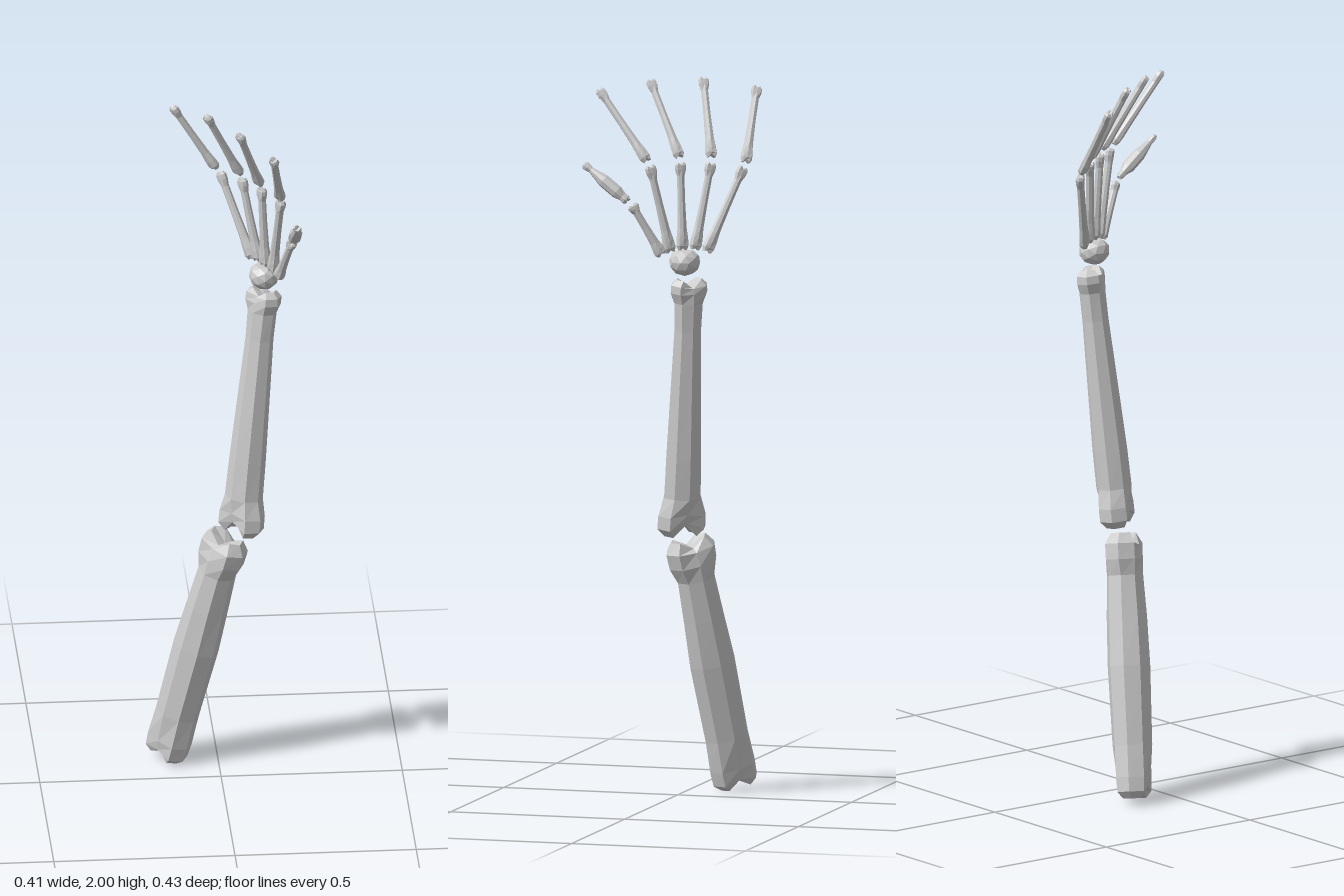
import * as THREE from 'three';

const SIDES = 8;
const material = new THREE.MeshStandardMaterial({ color: 0xcccccc, flatShading: true });

// Lofted bone from a to b. Stations are [t, half width, half thickness, waist, notch]:
// waist thins the middle of the section, notch pulls it inward to leave two knuckles.
function bone(name, a, b, across, stations) {
  const start = new THREE.Vector3(...a);
  const axis = new THREE.Vector3(...b).sub(start);
  const length = axis.length();
  axis.normalize();
  const u = new THREE.Vector3(...across);
  u.addScaledVector(axis, -u.dot(axis)).normalize();
  const v = new THREE.Vector3().crossVectors(axis, u);
  const pos = [], index = [];
  const put = (along, x, y) => {
    const p = start.clone().addScaledVector(axis, along).addScaledVector(u, x).addScaledVector(v, y);
    pos.push(p.x, p.y, p.z);
  };

  stations.forEach(([t, w, h, waist = 1, notch = 0]) => {
    for (let i = 0; i < SIDES; i++) {
      const angle = (i / SIDES) * Math.PI * 2;
      const middle = i % (SIDES / 2) === SIDES / 4;
      const inward = middle ? notch * (t < 0.5 ? 1 : -1) : 0;
      put(t * length + inward, Math.cos(angle) * w, Math.sin(angle) * h * (middle ? waist : 1));
    }
  });
  for (let s = 0; s < stations.length - 1; s++) {
    for (let i = 0; i < SIDES; i++) {
      const p = s * SIDES + i, q = s * SIDES + (i + 1) % SIDES;
      index.push(p, q, q + SIDES, p, q + SIDES, p + SIDES);
    }
  }

  // Sunken end caps
  const last = (stations.length - 1) * SIDES, centre = pos.length / 3;
  put(stations[0][4], 0, 0);
  put(length - stations[stations.length - 1][4], 0, 0);
  for (let i = 0; i < SIDES; i++) {
    const j = (i + 1) % SIDES;
    index.push(centre, j, i, centre + 1, last + i, last + j);
  }
  const geometry = new THREE.BufferGeometry();
  geometry.setAttribute('position', new THREE.Float32BufferAttribute(pos, 3));
  geometry.setIndex(index);
  geometry.computeVertexNormals();
  const mesh = new THREE.Mesh(geometry, material);
  mesh.name = name;
  return mesh;
}

// Slim hand bone, r = half width of its knuckles
function handBone(name, a, b, r, shaft = 0.62) {
  return bone(name, a, b, [0.6, 0, 0.8], [
    [0, r * 0.7, r * 0.6, 0.8, r * 0.4],
    [0.05, r, r * 0.9, 0.8],
    [0.13, r * 0.95, r * 0.85, 0.9],
    [0.25, r * Math.max(shaft, 0.75), r * Math.max(shaft, 0.7)],
    [0.55, r * shaft, r * shaft],
    [0.84, r * 0.6, r * 0.6],
    [0.92, r * 0.9, r * 0.75, 0.8],
    [0.97, r * 0.9, r * 0.75, 0.75],
    [1, r * 0.6, r * 0.5, 0.75, r * 0.4],
  ]);
}

export function createModel() {
  const group = new THREE.Group();
  const across = [0.65, 0, 0.76];

  // Upper arm: thick shaft, knuckled at both ends
  group.add(bone('upperArmBone', [-0.145, 0.018, -0.125], [0.02, 0.725, -0.037], across, [
    [0, 0.046, 0.036, 0.7, 0.022],
    [0.025, 0.066, 0.053, 0.75, 0.01],
    [0.08, 0.068, 0.056, 0.85],
    [0.2, 0.064, 0.056],
    [0.5, 0.067, 0.06],
    [0.68, 0.06, 0.057],
    [0.84, 0.055, 0.051],
    [0.9, 0.071, 0.058, 0.88],
    [0.96, 0.073, 0.058, 0.75, 0.005],
    [1, 0.052, 0.038, 0.7, 0.025],
  ]));

  // Forearm: tapers upward, deep notch at the elbow
  group.add(bone('forearmBone', [0.055, 0.738, -0.027], [0.125, 1.46, -0.072], across, [
    [0, 0.05, 0.036, 0.6, 0.035],
    [0.03, 0.072, 0.054, 0.68, 0.018],
    [0.08, 0.071, 0.054, 0.8, 0.008],
    [0.15, 0.055, 0.05],
    [0.3, 0.052, 0.049],
    [0.55, 0.046, 0.043],
    [0.8, 0.04, 0.037],
    [0.91, 0.043, 0.037],
    [0.95, 0.055, 0.044, 0.82],
    [0.98, 0.054, 0.043, 0.75, 0.006],
    [1, 0.037, 0.028, 0.7, 0.02],
  ]));

  // Wrist: faceted lump with a flattened top
  const wristGeometry = new THREE.IcosahedronGeometry(1, 1);
  const wp = wristGeometry.attributes.position;
  for (let i = 0; i < wp.count; i++) wp.setY(i, Math.min(wp.getY(i), 0.75));
  wristGeometry.scale(0.042, 0.04, 0.044);
  wristGeometry.computeVertexNormals();
  const wrist = new THREE.Mesh(wristGeometry, material);
  wrist.name = 'wrist';
  wrist.position.set(0.123, 1.508, -0.058);
  group.add(wrist);

  // Palm bone base and end, then finger bone base and tip
  const fingers = {
    little: [[0.095, 1.533, -0.112], [0.012, 1.762, -0.194], [0.001, 1.773, -0.196], [-0.12, 1.968, -0.192]],
    ring: [[0.11, 1.54, -0.083], [0.066, 1.778, -0.117], [0.061, 1.792, -0.116], [-0.035, 1.998, -0.063]],
    middle: [[0.126, 1.54, -0.053], [0.115, 1.782, -0.043], [0.11, 1.795, -0.04], [0.046, 1.998, 0.065]],
    index: [[0.144, 1.535, -0.024], [0.163, 1.777, 0.03], [0.16, 1.788, 0.038], [0.131, 1.978, 0.186]],
    thumb: [[0.158, 1.528, -0.003], [0.191, 1.67, 0.073], [0.194, 1.679, 0.083], [0.195, 1.778, 0.21]],
  };
  for (const [name, [base, end, joint, tip]] of Object.entries(fingers)) {
    const finger = new THREE.Group();
    finger.name = name + 'Finger';
    finger.add(handBone(name + 'PalmBone', base, end, 0.018));
    finger.add(name === 'thumb'
      ? handBone('thumbTipBone', joint, tip, 0.014, 1.3)
      : handBone(name + 'FingerBone', joint, tip, 0.017));
    group.add(finger);
  }
  return group;
}
